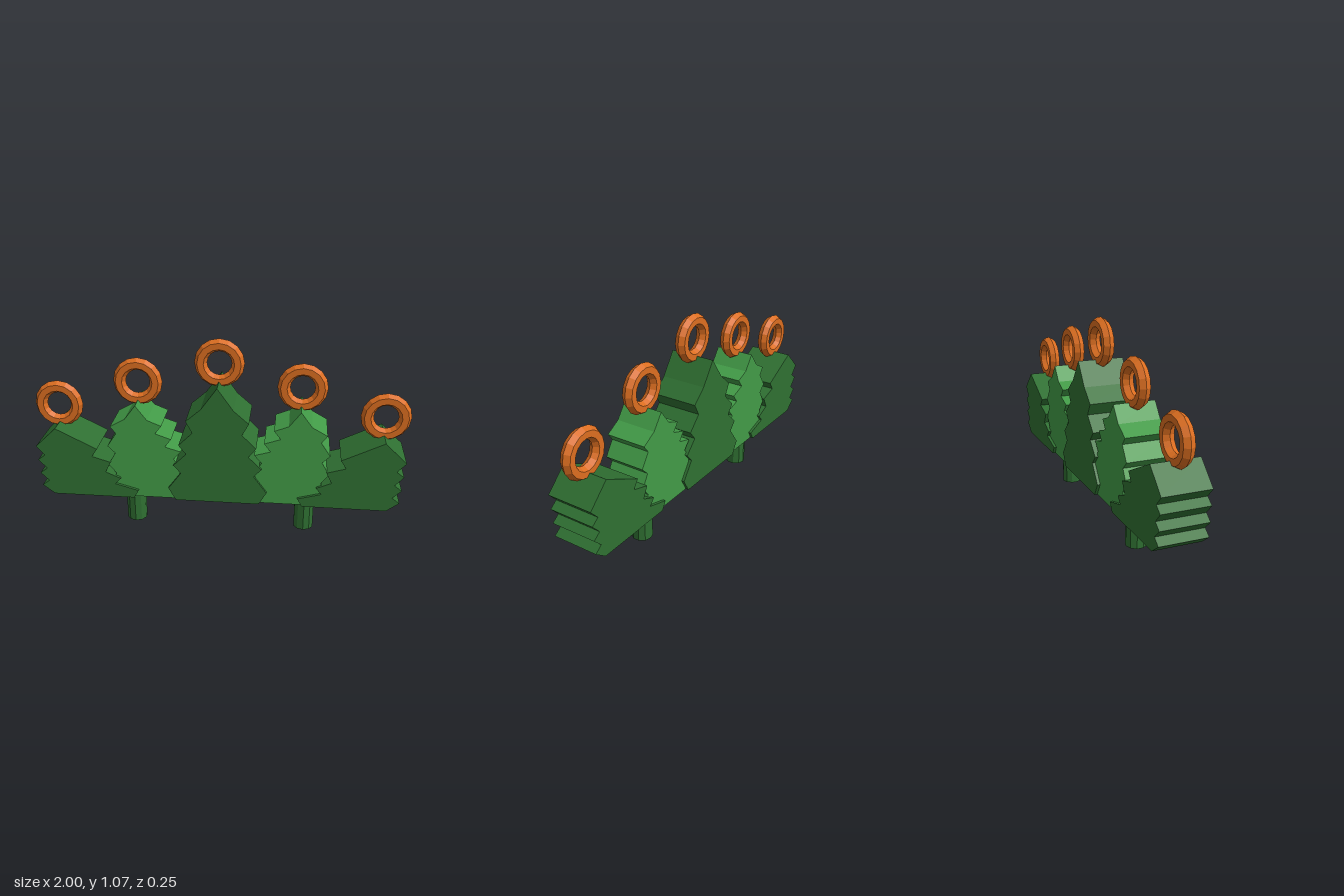
import * as THREE from 'three';

export function createModel() {
  const model = new THREE.Group();
  model.name = 'treeRowWithRings';

  const material = (name, color) => {
    const m = new THREE.MeshStandardMaterial({ color, flatShading: true });
    m.name = name;
    return m;
  };
  const darkGreen = material('dark green', 0x2f7032);
  const lightGreen = material('light green', 0x429b47);
  const orange = material('orange', 0xdc6e20);

  const add = (name, geometry, mat, x = 0, y = 0) => {
    const mesh = new THREE.Mesh(geometry, mat);
    mesh.name = name;
    mesh.position.set(x, y, 0);
    model.add(mesh);
  };

  // Extruded jagged silhouette, centred in z; side -1 mirrors it
  const tree = (name, points, depth, mat, side = 1) => {
    const shape = new THREE.Shape(points.map(([x, y]) => new THREE.Vector2(x * side, y)));
    const geometry = new THREE.ExtrudeGeometry(shape, { depth, bevelEnabled: false });
    geometry.translate(0, 0, -depth / 2);
    add(name, geometry, mat);
  };

  // Middle tree: right-hand edge, then its mirror
  const half = [
    [0.085, 0.73], [0.165, 0.66], [0.13, 0.595], [0.205, 0.52], [0.165, 0.47],
    [0.235, 0.4], [0.195, 0.355], [0.265, 0.26], [0.225, 0.19],
  ];
  const middle = [[0, 0.85], ...half, ...half.map(([x, y]) => [-x, y]).reverse()];
  tree('middleTree', middle, 0.25, darkGreen);

  // Inner trees, wider toward the middle
  const inner = [
    [0.43, 0.73], [0.49, 0.65], [0.57, 0.605], [0.54, 0.565], [0.59, 0.49],
    [0.55, 0.45], [0.59, 0.38], [0.55, 0.33], [0.57, 0.26], [0.52, 0.192],
    [0.2, 0.192], [0.21, 0.27], [0.2, 0.38], [0.235, 0.43], [0.195, 0.475],
    [0.28, 0.5], [0.245, 0.545], [0.33, 0.575], [0.295, 0.62], [0.37, 0.65],
  ];
  // Outer trees, with a short outer edge and a long inner slope
  const outer = [
    [0.865, 0.585], [0.98, 0.475], [0.935, 0.425], [0.975, 0.395], [0.93, 0.345],
    [0.97, 0.315], [0.925, 0.27], [0.965, 0.24], [0.9, 0.19], [0.455, 0.19],
    [0.43, 0.235], [0.555, 0.27], [0.525, 0.305], [0.605, 0.34], [0.575, 0.4],
    [0.675, 0.43], [0.645, 0.475],
  ];

  // Ring with a six-sided section
  const ring = (name, x, y) =>
    add(name, new THREE.TorusGeometry(0.0975, 0.0335, 6, 16), orange, x, y);
  ring('middleRing', 0, 0.943);

  for (const [label, side] of [['left', 1], ['right', -1]]) {
    tree(label + 'InnerTree', inner, 0.22, lightGreen, side);
    tree(label + 'OuterTree', outer, 0.25, darkGreen, side);
    ring(label + 'InnerRing', 0.432 * side, 0.825);
    ring(label + 'OuterRing', 0.868 * side, 0.68);
    // Supporting peg
    add(label + 'Peg', new THREE.CylinderGeometry(0.055, 0.055, 0.21, 10), darkGreen, 0.47 * side, 0.105);
  }
  return model;
}
